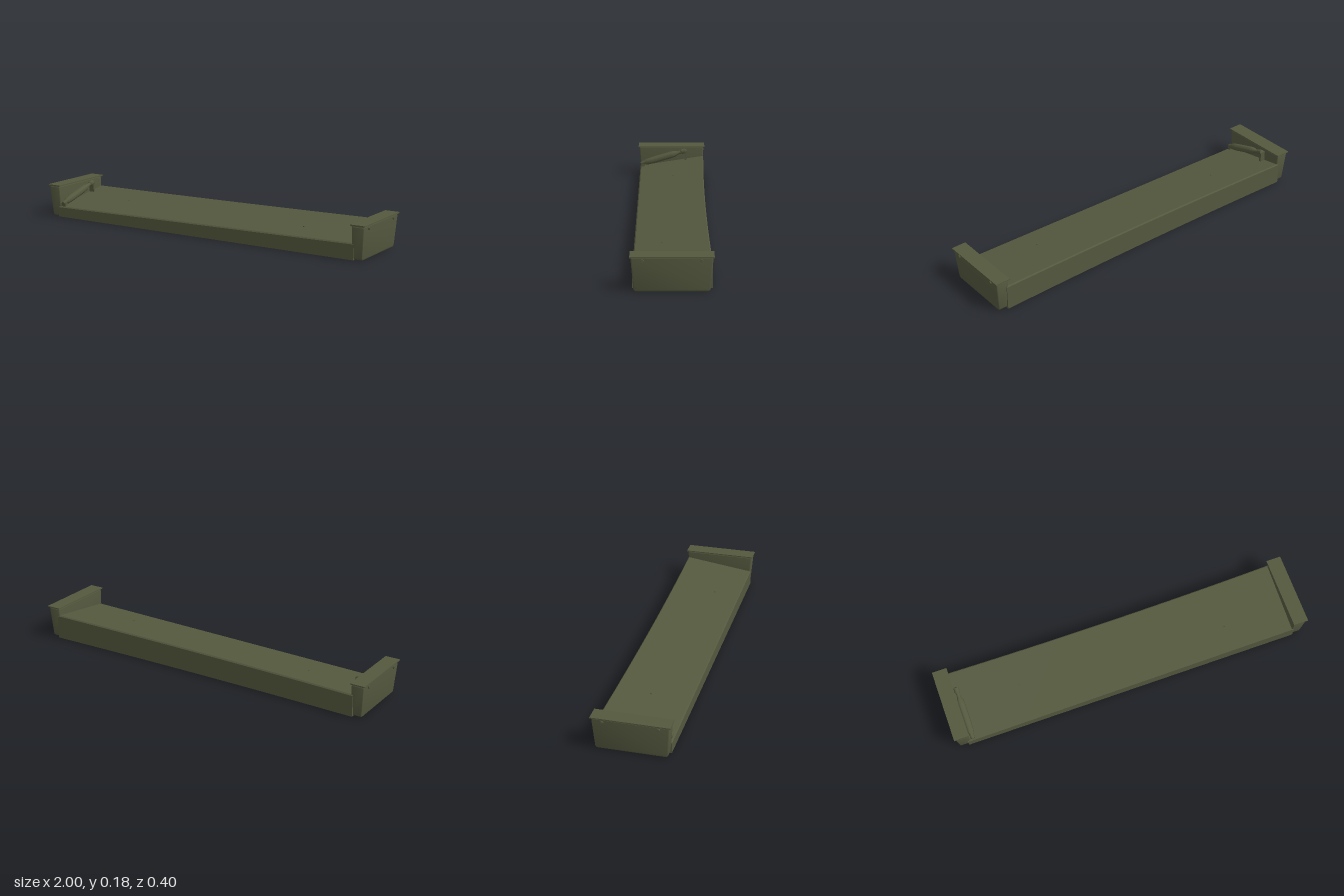
import * as THREE from 'three';
import { toCreasedNormals } from 'three/addons/utils/BufferGeometryUtils.js';

const HALF = 0.935;   // half length of the deck
const PLATE = 0.007;  // depth of the underside recesses
const FRONT = 0.19;

// Edge rules of the slightly twisted deck
const backZ = x => -0.194 + 0.012 * (1 - (x / HALF) ** 2);
const frontY = x => 0.073 + 0.0145 * x;
const backY = x => 0.128 + 0.009 * x;
const deckY = (x, z) => THREE.MathUtils.mapLinear(z, FRONT, backZ(x), frontY(x), backY(x));

// Deck lofted from cross-sections along x
function deckGeometry() {
  const steps = 24, pos = [], c = 0.006;
  const section = x => {
    const b = backZ(x);
    return [
      [FRONT, PLATE], [FRONT, frontY(x) - c], [FRONT - c, frontY(x)],
      [b + c, backY(x)], [b, backY(x) - c], [b, PLATE],
    ].map(([z, y]) => [x, y, z]);
  };
  const tri = (...p) => p.forEach(v => pos.push(...v));
  const at = i => section(-HALF + (2 * HALF * i) / steps);
  for (let i = 0; i < steps; i++) {
    const a = at(i), b = at(i + 1);
    for (let j = 0; j < a.length; j++) {
      const k = (j + 1) % a.length;
      tri(a[j], b[j], b[k]);
      tri(a[j], b[k], a[k]);
    }
  }
  const s = at(0), e = at(steps);
  for (let j = 1; j < s.length - 1; j++) {
    tri(s[0], s[j], s[j + 1]);
    tri(e[0], e[j + 1], e[j]);
  }
  const g = new THREE.BufferGeometry();
  g.setAttribute('position', new THREE.Float32BufferAttribute(pos, 3));
  return toCreasedNormals(g, 0.4);
}

const rect = (Type, x, z, w, d) => new Type([
  new THREE.Vector2(x - w / 2, z - d / 2), new THREE.Vector2(x + w / 2, z - d / 2),
  new THREE.Vector2(x + w / 2, z + d / 2), new THREE.Vector2(x - w / 2, z + d / 2),
]);

// Plate lying on y = 0
function plateGeometry(shape) {
  const g = new THREE.ExtrudeGeometry(shape, { depth: PLATE, bevelEnabled: false });
  return g.rotateX(Math.PI / 2).translate(0, PLATE, 0);
}

// Rounded, tapering end box; outer wall leans outwards towards the top
function endBoxGeometry() {
  const s = new THREE.Shape(), top = 0.188, bottom = 0.176, y0 = 0.007, y1 = 0.17, r = 0.008;
  s.moveTo(-bottom + r, y0);
  s.lineTo(bottom - r, y0);
  s.quadraticCurveTo(bottom, y0, bottom + 0.001, y0 + r);
  s.lineTo(top, y1 - r);
  s.quadraticCurveTo(top, y1, top - r, y1);
  s.lineTo(-top + r, y1);
  s.quadraticCurveTo(-top, y1, -top, y1 - r);
  s.lineTo(-bottom - 0.001, y0 + r);
  s.quadraticCurveTo(-bottom, y0, -bottom + r, y0);
  const g = new THREE.ExtrudeGeometry(s, {
    depth: 0.045, bevelThickness: 0.006, bevelSize: 0.006, bevelSegments: 3, curveSegments: 5,
  });
  g.rotateY(Math.PI / 2).translate(0.93, 0, 0);
  const p = g.attributes.position;
  for (let i = 0; i < p.count; i++) {
    if (p.getX(i) > 0.95) p.setX(i, p.getX(i) + 0.013 * p.getY(i) / 0.18);
  }
  return toCreasedNormals(g, 0.6);
}

export function createModel() {
  const model = new THREE.Group();
  model.name = 'tray';
  const olive = new THREE.MeshStandardMaterial({ color: 0x54583e });
  olive.name = 'olive paint';
  const add = (name, geometry, parent = model) => {
    const mesh = new THREE.Mesh(geometry, olive);
    mesh.name = name;
    parent.add(mesh);
    return mesh;
  };

  add('slopedDeck', deckGeometry());

  // Underside: outer plate, a groove frame, and an inner plate with slots
  const outline = [new THREE.Vector2(-HALF, FRONT), new THREE.Vector2(-HALF, backZ(HALF))];
  for (let i = 1; i <= 24; i++) {
    const x = -HALF + (2 * HALF * i) / 24;
    outline.push(new THREE.Vector2(x, backZ(x)));
  }
  outline.push(new THREE.Vector2(HALF, FRONT));
  const outer = new THREE.Shape(outline);
  outer.holes.push(rect(THREE.Path, 0, 0, 1.8, 0.2));
  add('undersidePlate', plateGeometry(outer));
  const inner = rect(THREE.Shape, 0, 0, 1.78, 0.18);
  for (let i = 0; i < 12; i++) {
    inner.holes.push(rect(THREE.Path, -0.836 + i * 0.152, 0, 0.07, 0.1));
  }
  add('slottedPlate', plateGeometry(inner));

  // Deck screws
  for (const [x, z] of [[-0.585, -0.01], [0.58, 0.05]]) {
    add('deckScrew', new THREE.CylinderGeometry(0.005, 0.005, 0.004, 10))
      .position.set(x, deckY(x, z) + 0.001, z);
  }

  // End boxes with overhanging lids and bolts
  for (const [name, turn] of [['leftEnd', 0], ['rightEnd', Math.PI]]) {
    const end = new THREE.Group();
    end.name = name;
    end.rotation.y = turn;
    model.add(end);
    add('endBox', endBoxGeometry(), end);
    add('lid', new THREE.BoxGeometry(0.081, 0.006, 0.4), end).position.set(0.9595, 0.179, 0);
    add('lidSeat', new THREE.BoxGeometry(0.066, 0.004, 0.388), end).position.set(0.958, 0.1745, 0);
    for (const z of [-0.14, 0.14]) {
      const bolt = add('bolt', new THREE.CylinderGeometry(0.008, 0.009, 0.006, 6), end);
      bolt.rotation.z = -Math.PI / 2;
      bolt.position.set(0.996, 0.16, z);
      const head = add('boltHead', new THREE.CylinderGeometry(0.005, 0.005, 0.003, 10), end);
      head.rotation.z = -Math.PI / 2;
      head.position.set(0.9985, 0.16, z);
    }
  }

  // Slanted canister beside the right end
  const low = new THREE.Vector3(-0.905, 0.077, 0.188);
  const high = new THREE.Vector3(-0.905, 0.16, -0.09);
  const profile = [
    [0, 0], [0.009, 0.002], [0.012, 0.012], [0.012, 0.025], [0.018, 0.04], [0.02, 0.08],
    [0.02, 0.19], [0.018, 0.215], [0.01, 0.235], [0.01, 0.255], [0.014, 0.26], [0.014, 0.285], [0, 0.29],
  ].map(([r, y]) => new THREE.Vector2(r, y));
  const canister = add('canister', toCreasedNormals(new THREE.LatheGeometry(profile, 20), 0.6));
  canister.position.copy(low);
  canister.quaternion.setFromUnitVectors(new THREE.Vector3(0, 1, 0), high.clone().sub(low).normalize());
  add('canisterBracket', new THREE.BoxGeometry(0.03, 0.06, 0.012)).position.set(-0.908, 0.13, -0.085);
  add('canisterFoot', new THREE.BoxGeometry(0.03, 0.02, 0.02)).position.set(-0.908, 0.068, 0.172);

  return model;
}
